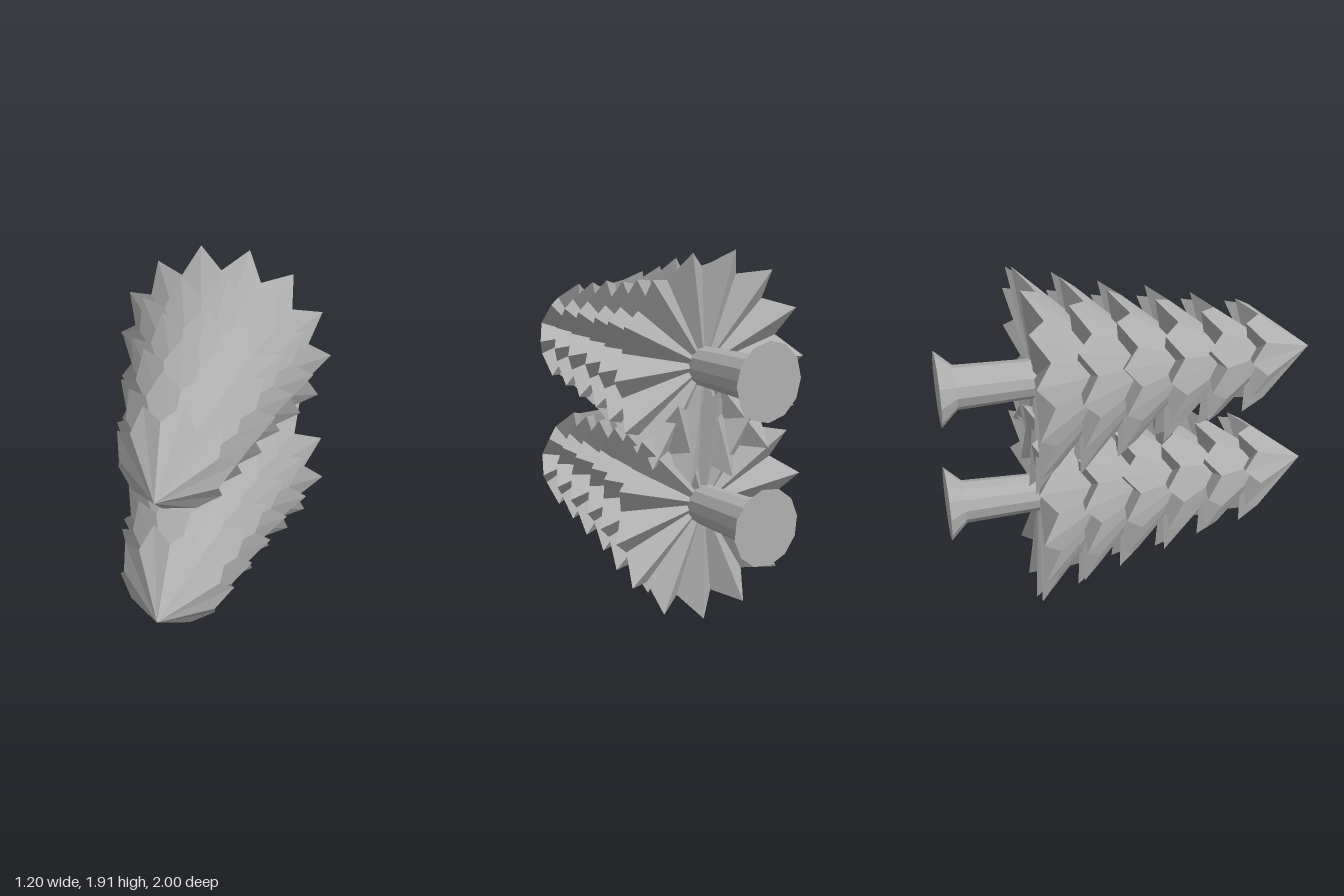
import * as THREE from 'three';

// Tiers from tip to base: points, tip radius, tip z, apex z
const TIERS = [
  [9, 0.31, 0.59, 1.0],
  [10, 0.36, 0.36, 0.84],
  [11, 0.418, 0.13, 0.64],
  [12, 0.467, -0.11, 0.44],
  [13, 0.54, -0.34, 0.24],
  [14, 0.6, -0.57, 0.05],
];

// Pleated star-shaped cone: apex fan above, shallow fan beneath
function tierGeometry(points, radius, tipZ, apexZ) {
  const n = points * 2;
  const ring = i => {
    const a = (i * Math.PI * 2) / n;
    const valley = i % 2 === 1;
    const r = valley ? radius * 0.83 : radius;
    return [r * Math.cos(a), r * Math.sin(a), valley ? tipZ + 0.1 : tipZ];
  };
  const pos = [];
  for (let i = 0; i < n; i++) {
    const p = ring(i), q = ring((i + 1) % n);
    pos.push(0, 0, apexZ, ...p, ...q);
    pos.push(0, 0, tipZ + 0.07, ...q, ...p);
  }
  const geo = new THREE.BufferGeometry();
  geo.setAttribute('position', new THREE.Float32BufferAttribute(pos, 3));
  geo.computeVertexNormals();
  return geo;
}

// Trunk with a flared, closed foot
function trunkGeometry() {
  const profile = [[0, -1], [0.2, -1], [0.117, -0.91], [0.1, -0.4]];
  return new THREE.LatheGeometry(profile.map(p => new THREE.Vector2(...p)), 12).rotateX(Math.PI / 2);
}

function createTree(name, y, roll, material) {
  const tree = new THREE.Group();
  tree.name = name;
  TIERS.forEach((tier, i) => {
    const mesh = new THREE.Mesh(tierGeometry(...tier), material);
    mesh.name = `branchTier${i + 1}`;
    tree.add(mesh);
  });
  const trunk = new THREE.Mesh(trunkGeometry(), material);
  trunk.name = 'trunk';
  tree.add(trunk);
  tree.position.y = y;
  tree.rotation.z = roll;
  return tree;
}

export function createModel() {
  const grey = new THREE.MeshStandardMaterial({ color: 0xb0b0b0, flatShading: true });
  grey.name = 'grey';
  const model = new THREE.Group();
  model.name = 'lyingTrees';
  model.add(createTree('upperTree', 1.335, 0, grey));
  model.add(createTree('lowerTree', 0.61, -0.148, grey));
  return model;
}
